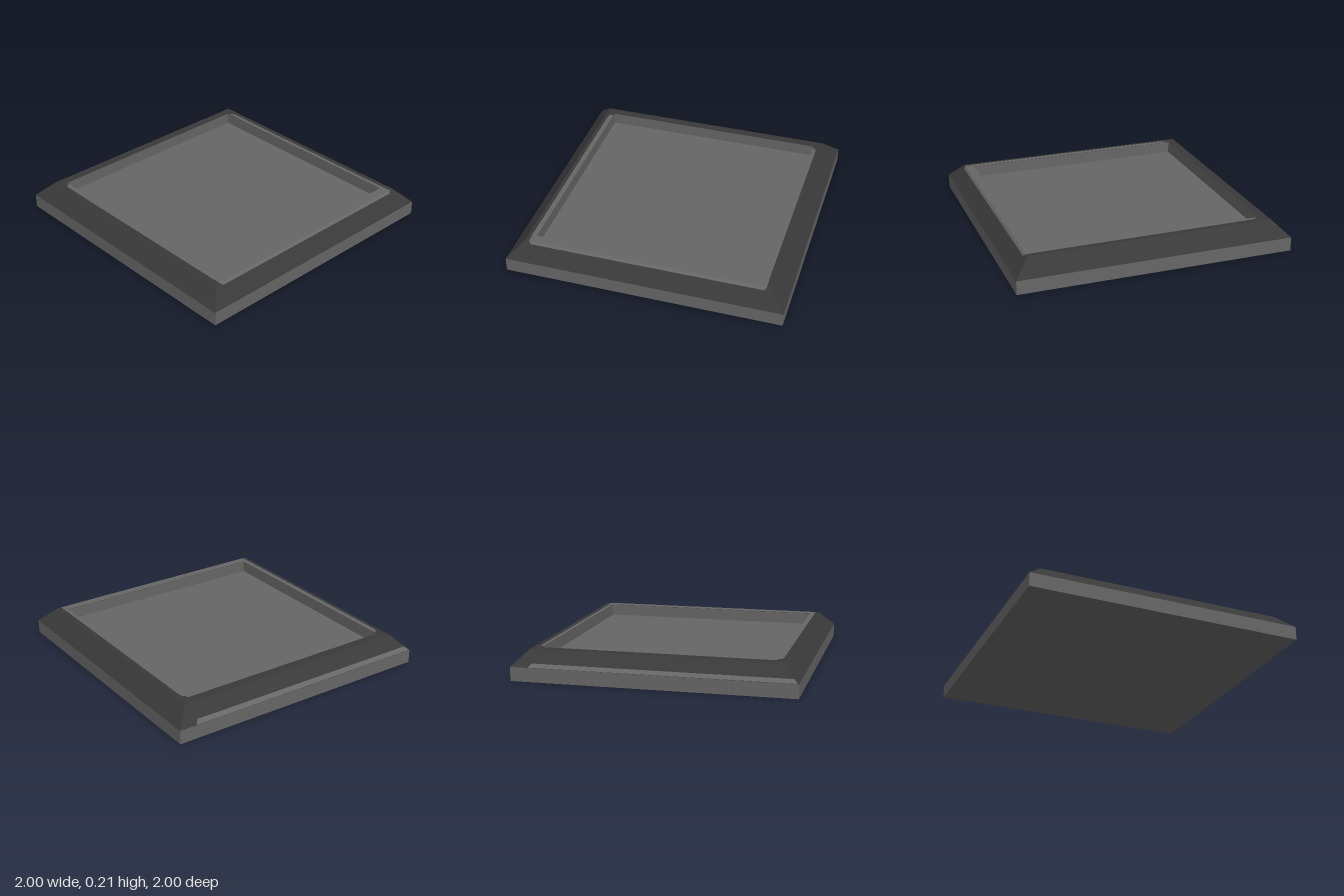
import * as THREE from 'three';

const stone = new THREE.MeshStandardMaterial({ color: 0x666666 });
stone.name = 'grey stone';
const trim = new THREE.MeshStandardMaterial({ color: 0x393939 });
trim.name = 'dark trim';

// Flat mesh from convex polygons, corners counter-clockwise seen from outside
function faces(name, material, polygons) {
  const pos = [];
  for (const p of polygons) {
    for (let i = 1; i < p.length - 1; i++) pos.push(...p[0], ...p[i], ...p[i + 1]);
  }
  const geometry = new THREE.BufferGeometry();
  geometry.setAttribute('position', new THREE.Float32BufferAttribute(pos, 3));
  geometry.computeVertexNormals();
  const mesh = new THREE.Mesh(geometry, material);
  mesh.name = name;
  return mesh;
}

// Square of half-width h at height y, counter-clockwise from above
const square = (h, y) => [[-h, y, h], [h, y, h], [h, y, -h], [-h, y, -h]];

// Four mitred sides between two squares
function ring(name, material, h0, y0, h1, y1) {
  const a = square(h0, y0), b = square(h1, y1);
  return faces(name, material, a.map((p, i) => {
    const j = (i + 1) % 4;
    return [p, a[j], b[j], b[i]];
  }));
}

export function createModel() {
  const group = new THREE.Group();
  group.name = 'squarePlinth';
  const base = 0.1, top = 0.21, floor = 0.125, outer = 0.89, inner = 0.825;

  // Slab, bevelled frame and sunken floor
  group.add(
    faces('underside', stone, [square(1, 0).reverse()]),
    ring('baseSides', stone, 1, 0, 1, base),
    ring('bevel', trim, 1, base, outer, top),
    ring('rim', trim, outer, top, inner, top),
    ring('recessWalls', stone, inner, top, inner, floor),
    faces('recessFloor', stone, [square(inner, floor)])
  );

  // Worn light edges laid just over the dark frame
  const y = top + 0.002;
  group.add(
    faces('wornRimFront', stone, [[[-0.86, y, outer], [0.855, y, outer], [0.855, y, inner], [-0.86, y, inner]]]),
    faces('wornRimRight', stone, [[[-0.862, y, inner], [-inner, y, inner], [-inner, y, -0.8], [-0.845, y, -0.8], [-0.862, y, -0.77]]]),
    faces('wornRimLeft', stone, [[[inner, y, inner], [0.853, y, inner], [0.853, y, -0.77], [0.84, y, -0.8], [inner, y, -0.8]]]),
    faces('wornBevelFront', stone, [[[-0.84, y - 0.016, 0.906], [0.84, y - 0.016, 0.906], [0.86, y, outer], [-0.86, y, outer]]]),
    faces('wornBevelBack', stone, [[[0.87, base + 0.002, -1], [-0.99, base + 0.002, -1], [-0.965, base + 0.027, -0.975], [0.85, base + 0.027, -0.975]]])
  );
  return group;
}
